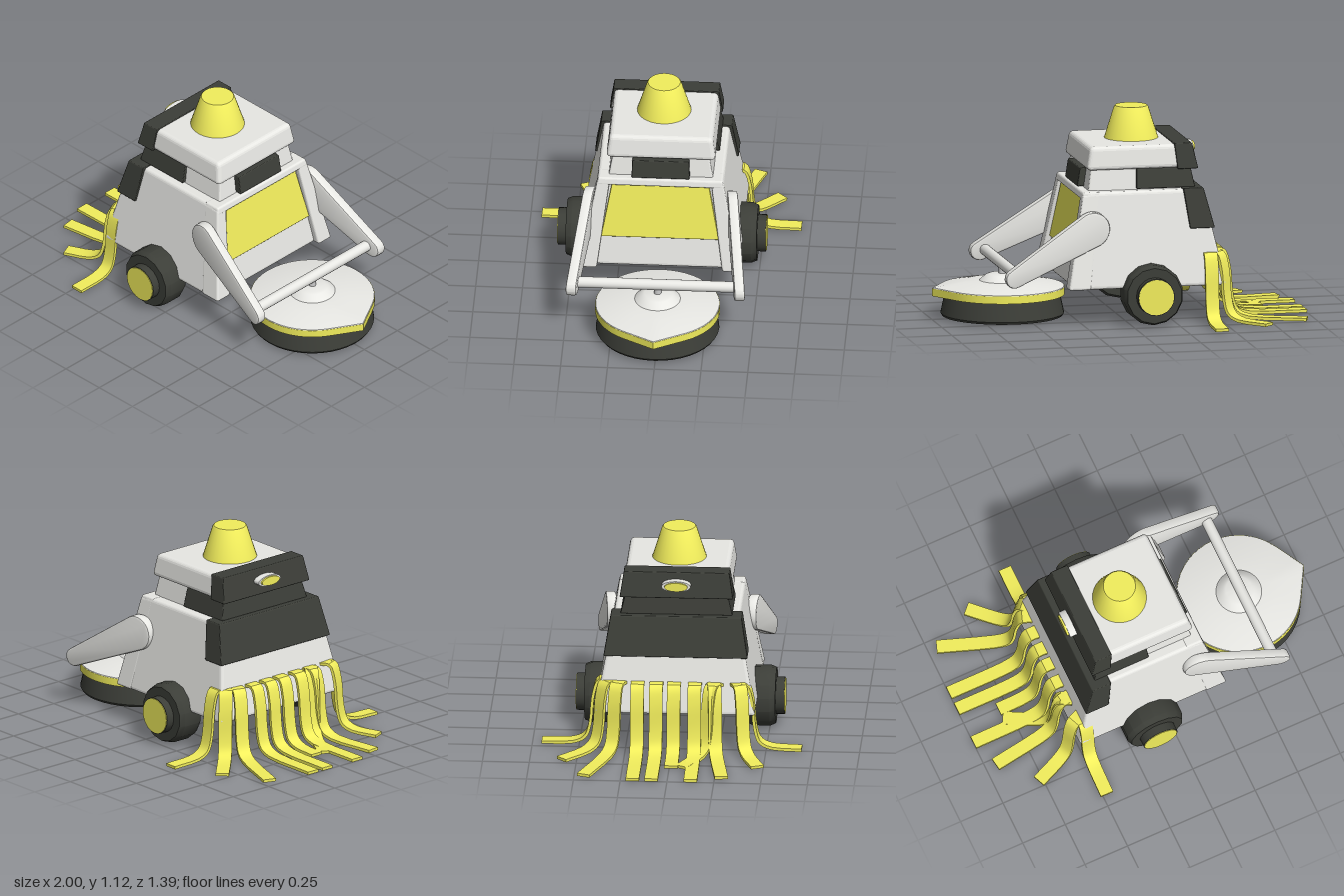
import * as THREE from 'three';
import { RoundedBoxGeometry } from 'three/addons/geometries/RoundedBoxGeometry.js';
import { toCreasedNormals } from 'three/addons/utils/BufferGeometryUtils.js';

const paint = (color) => new THREE.MeshStandardMaterial({ color });
const WHITE = paint(0xe8e8e4), DARK = paint(0x3c3e38), YELLOW = paint(0xf2ee5c), GREY = paint(0xcccccc);

function add(parent, name, geometry, material, x = 0, y = 0, z = 0) {
  const mesh = new THREE.Mesh(geometry, material);
  mesh.name = name;
  mesh.position.set(x, y, z);
  parent.add(mesh);
  return mesh;
}

// Bevelled block whose bottom and top rectangles [x0, x1, z0, z1] differ
function tapered(y0, y1, bottom, top, r = 0.018) {
  const w = bottom[1] - bottom[0], d = bottom[3] - bottom[2], h = y1 - y0;
  const geo = new RoundedBoxGeometry(w, h, d, 2, r);
  const p = geo.attributes.position;
  for (let i = 0; i < p.count; i++) {
    const u = p.getX(i) / w + 0.5, t = p.getY(i) / h + 0.5, v = p.getZ(i) / d + 0.5;
    const e = bottom.map((b, k) => b + (top[k] - b) * t);
    p.setXYZ(i, e[0] + (e[1] - e[0]) * u, y0 + h * t, e[2] + (e[3] - e[2]) * v);
  }
  geo.computeVertexNormals();
  return geo;
}

const lathe = (pts, sides) =>
  toCreasedNormals(new THREE.LatheGeometry(pts.map(([x, y]) => new THREE.Vector2(x, y)), sides), 0.5);

// Round profile drawn out to a point on +x; the hub stays round
function teardrop(pts, R, tip) {
  const geo = new THREE.LatheGeometry(pts.map(([x, y]) => new THREE.Vector2(x, y)), 48);
  const p = geo.attributes.position, alpha = Math.acos(R / tip);
  for (let i = 0; i < p.count; i++) {
    const x = p.getX(i), z = p.getZ(i), r = Math.hypot(x, z);
    const a = Math.abs(Math.atan2(z, x));
    const stretch = a < alpha ? 1 / Math.cos(alpha - a) : 1;
    const s = 1 + (stretch - 1) * THREE.MathUtils.clamp((r - 0.13) / (R - 0.13), 0, 1);
    p.setXYZ(i, x * s, p.getY(i), z * s);
  }
  return toCreasedNormals(geo, 0.5);
}

// Ribbon that hangs from the body, then runs flat along the ground
function ribbon(length, width) {
  const curve = new THREE.CatmullRomCurve3(
    [[-0.02, 0.365], [0.045, 0.365], [0.075, 0.28], [0.09, 0.13], [0.115, 0.05], [0.17, 0.018], [length, 0.008]]
      .map(([x, y]) => new THREE.Vector3(x, y, 0)), false, 'centripetal');
  const upper = [], lower = [];
  for (let i = 0; i <= 20; i++) {
    const c = curve.getPoint(i / 20), t = curve.getTangent(i / 20);
    upper.push(new THREE.Vector2(c.x - t.y * 0.008, c.y + t.x * 0.008));
    lower.unshift(new THREE.Vector2(c.x + t.y * 0.008, c.y - t.x * 0.008));
  }
  const geo = new THREE.ExtrudeGeometry(new THREE.Shape([...upper, ...lower]), { depth: width, bevelEnabled: false });
  return toCreasedNormals(geo.translate(0, 0, -width / 2), 0.5);
}

// Tapered arm outline around a large and a small end
function armGeometry(side) {
  const a = new THREE.Vector2(0.205, 0.52), b = new THREE.Vector2(0.645, 0.28);
  const dir = Math.atan2(b.y - a.y, b.x - a.x), pts = [];
  for (let i = 0; i <= 14; i++) {
    const t = dir + Math.PI / 2 + Math.PI * i / 14;
    pts.push(new THREE.Vector2(a.x + 0.095 * Math.cos(t), a.y + 0.095 * Math.sin(t)));
  }
  for (let i = 0; i <= 8; i++) {
    const t = dir - Math.PI / 2 + Math.PI * i / 8;
    pts.push(new THREE.Vector2(b.x + 0.05 * Math.cos(t), b.y + 0.05 * Math.sin(t)));
  }
  const geo = new THREE.ExtrudeGeometry(new THREE.Shape(pts),
    { depth: 0.036, bevelThickness: 0.01, bevelSize: 0.01, bevelOffset: -0.01, bevelSegments: 2 });
  const p = geo.attributes.position;
  // Lean the arm outwards towards its tip
  for (let i = 0; i < p.count; i++) {
    p.setZ(i, p.getZ(i) - 0.018 + side * (0.37 + 0.14 * (p.getX(i) - 0.11)));
  }
  return toCreasedNormals(geo, 0.5);
}

export function createModel() {
  const model = new THREE.Group();
  model.name = 'sweepingMachine';
  const machine = new THREE.Group();
  machine.name = 'machine';
  machine.position.z = 0.014;
  model.add(machine);

  // Main body with a recessed front between two cheeks
  add(machine, 'body', tapered(0.2, 0.71, [-0.52, 0.305, -0.43, 0.43], [-0.41, 0.215, -0.335, 0.335]), WHITE);
  add(machine, 'frontRim', tapered(0.672, 0.712, [0.15, 0.252, -0.34, 0.34], [0.15, 0.243, -0.333, 0.333], 0.01), WHITE);
  add(machine, 'leftCheek', tapered(0.2, 0.7, [0.22, 0.34, 0.335, 0.432], [0.15, 0.245, 0.27, 0.337], 0.012), WHITE);
  add(machine, 'rightCheek', tapered(0.2, 0.7, [0.22, 0.34, -0.432, -0.335], [0.15, 0.245, -0.337, -0.27], 0.012), WHITE);
  add(machine, 'frontPanel', tapered(0.37, 0.672, [0.24, 0.288, -0.315, 0.315], [0.19, 0.236, -0.26, 0.26], 0.004), YELLOW);
  add(machine, 'backPanel', tapered(0.505, 0.718, [-0.465, -0.33, -0.385, 0.385], [-0.41, -0.3, -0.35, 0.35], 0.006), DARK);

  // Neck
  add(machine, 'neck', tapered(0.7, 0.83, [-0.35, 0.205, -0.28, 0.28], [-0.33, 0.185, -0.258, 0.258], 0.01), WHITE);
  add(machine, 'neckWrap', tapered(0.715, 0.82, [-0.375, -0.055, -0.3, 0.3], [-0.355, -0.06, -0.275, 0.275], 0.006), DARK);
  add(machine, 'frontVisor', tapered(0.715, 0.815, [0.17, 0.238, -0.155, 0.155], [0.165, 0.222, -0.152, 0.152], 0.006), DARK);

  // Head
  add(machine, 'head', tapered(0.82, 0.945, [-0.33, 0.212, -0.293, 0.293], [-0.32, 0.19, -0.275, 0.275], 0.022), WHITE);
  add(machine, 'headBackPanel', tapered(0.815, 0.952, [-0.392, -0.28, -0.303, 0.303], [-0.362, -0.265, -0.282, 0.282], 0.006), DARK);
  const knob = new THREE.Group();
  knob.name = 'backKnob';
  knob.position.set(-0.395, 0.89, 0);
  knob.rotation.z = Math.PI / 2;
  knob.scale.z = 2.6;
  machine.add(knob);
  add(knob, 'knobRing', new THREE.CylinderGeometry(0.03, 0.03, 0.04, 20), WHITE);
  add(knob, 'knobCap', new THREE.CylinderGeometry(0.024, 0.024, 0.03, 20), YELLOW, 0, 0.016);
  add(machine, 'beacon', lathe([[0, 0], [0.145, 0], [0.092, 0.168], [0.086, 0.175], [0, 0.175]], 32), YELLOW, -0.09, 0.943);

  // Wheels, arms
  const tyre = lathe([[0, -0.075], [0.15, -0.075], [0.163, -0.05], [0.163, 0.045], [0.15, 0.075], [0, 0.075]], 14);
  for (const side of [1, -1]) {
    const label = side > 0 ? 'left' : 'right';
    const wheel = new THREE.Group();
    wheel.name = label + 'Wheel';
    wheel.position.set(-0.11, 0.168, side * 0.435 + 0.01);
    wheel.rotation.x = side * Math.PI / 2;
    machine.add(wheel);
    add(wheel, 'tyre', tyre, DARK);
    add(wheel, 'hub', new THREE.CylinderGeometry(0.1, 0.1, 0.06, 20), DARK, 0, 0.09);
    add(wheel, 'hubCap', new THREE.CylinderGeometry(0.096, 0.096, 0.01, 20), YELLOW, 0, 0.118);
    add(machine, label + 'Arm', armGeometry(side), WHITE);
  }
  add(machine, 'crossBar', new THREE.CylinderGeometry(0.03, 0.03, 0.87, 18), WHITE, 0.615, 0.288, 0).rotation.x = Math.PI / 2;

  // Round front brush under a pointed cover
  const brush = new THREE.Group();
  brush.name = 'frontBrush';
  brush.position.set(0.615, 0, -0.008);
  machine.add(brush);
  add(brush, 'bristles', lathe([[0, 0.012], [0.322, 0.012], [0.33, 0.025], [0.308, 0.13], [0, 0.13]], 40), DARK);
  add(brush, 'band', teardrop([[0, 0.125], [0.333, 0.125], [0.333, 0.166], [0, 0.166]], 0.333, 0.384), YELLOW);
  add(brush, 'cover', teardrop([[0, 0.163], [0.333, 0.163], [0.33, 0.17], [0.2, 0.195], [0.122, 0.2],
    [0.108, 0.212], [0.085, 0.23], [0.07, 0.235], [0, 0.237]], 0.333, 0.384), WHITE);
  add(brush, 'post', new THREE.CylinderGeometry(0.02, 0.02, 0.06, 14), GREY, 0, 0.25);

  // Trailing ribbons: [start x, start z, tip x, tip z]
  const ribbons = [
    [-0.49, -0.185, -1, -0.185], [-0.49, -0.085, -1, -0.085], [-0.49, 0.01, -0.8, 0.01],
    [-0.49, 0.12, -1, 0.125], [-0.49, 0.22, -0.945, 0.287], [-0.49, 0.23, -0.8, 0.065],
    [-0.48, 0.345, -0.775, 0.47], [-0.47, 0.35, -0.477, 0.69],
    [-0.48, -0.28, -0.95, -0.45], [-0.46, -0.33, -0.715, -0.58], [-0.435, -0.35, -0.433, -0.7],
  ];
  const group = new THREE.Group();
  group.name = 'ribbons';
  model.add(group);
  for (const [x, z, tx, tz] of ribbons) {
    const strip = add(group, 'ribbon', ribbon(Math.hypot(tx - x, tz - z), 0.072), YELLOW, x, 0, z);
    strip.rotation.y = Math.atan2(z - tz, tx - x);
  }
  return model;
}
